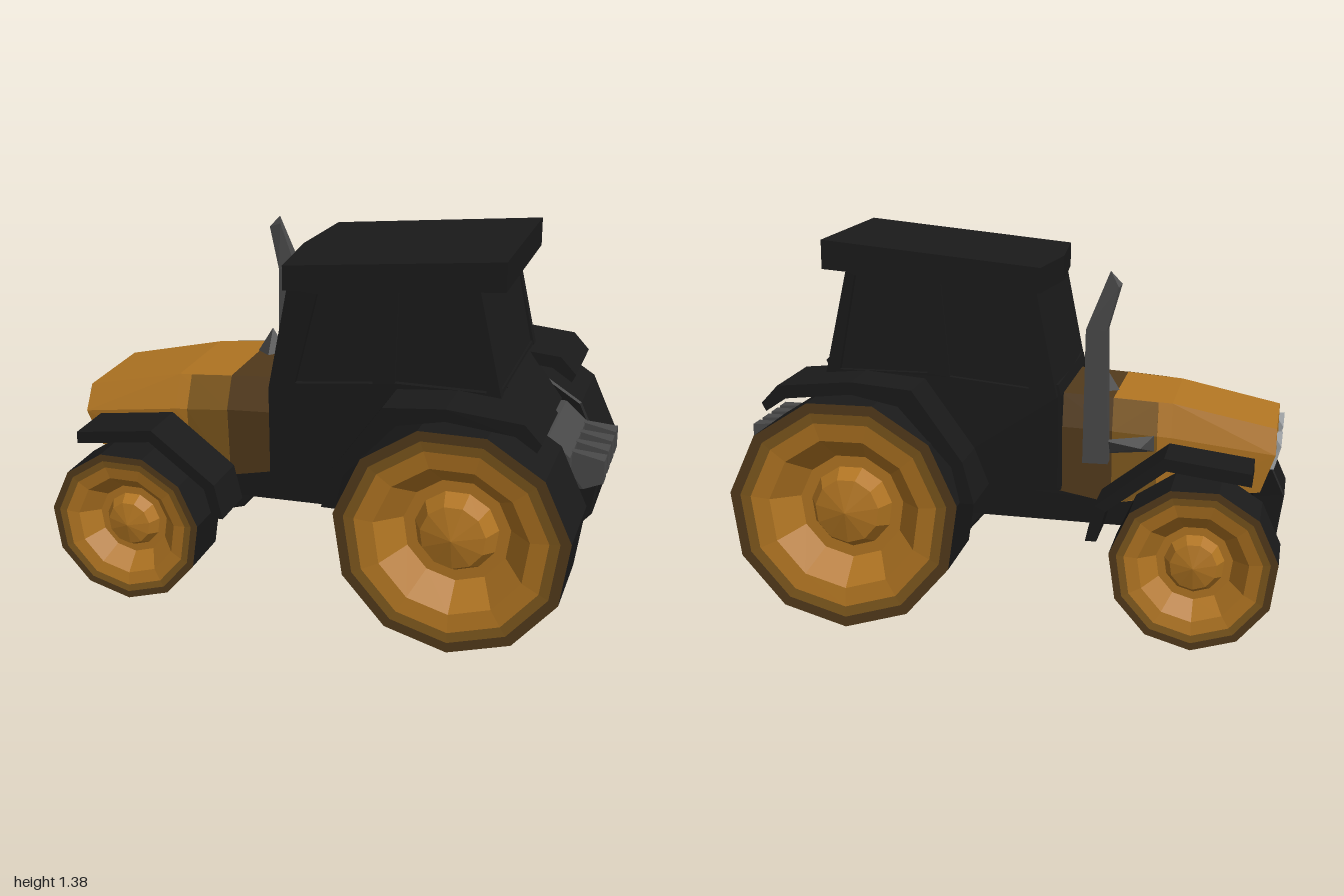
import * as THREE from 'three';
import { ConvexGeometry } from 'three/addons/geometries/ConvexGeometry.js';

const mat = (name, color) => {
  const m = new THREE.MeshStandardMaterial({ color });
  m.name = name;
  return m;
};

export function createModel() {
  const black = mat('black', 0x1a1a1a);
  const grey = mat('grey', 0x494949);
  const lamp = mat('lampGrey', 0x9a9da0);
  const orange = mat('orange', 0xb17522);
  const amber = mat('darkOrange', 0x7e581d);
  const brown = mat('brown', 0x523a1b);
  const tractor = new THREE.Group();
  tractor.name = 'tractor';

  // Faceted mesh
  const add = (name, geo, material, parent = tractor) => {
    const g = geo.index ? geo.toNonIndexed() : geo;
    g.computeVertexNormals();
    const mesh = new THREE.Mesh(g, material);
    mesh.name = name;
    parent.add(mesh);
    return mesh;
  };
  const hull = (name, pts, material) =>
    add(name, new ConvexGeometry(pts.map(p => new THREE.Vector3(...p))), material);
  // Side profile (x, y) stretched from z0 to z1
  const slab = (name, pts, z0, z1, material, holes = []) => {
    const toV = a => a.map(p => new THREE.Vector2(...p));
    const shape = new THREE.Shape(toV(pts));
    holes.forEach(h => shape.holes.push(new THREE.Path(toV(h))));
    const g = new THREE.ExtrudeGeometry(shape, { depth: z1 - z0, bevelEnabled: false });
    return add(name, g.translate(0, 0, z0), material);
  };
  const box = (name, x0, x1, y0, y1, z0, z1, material) =>
    add(name, new THREE.BoxGeometry(x1 - x0, y1 - y0, z1 - z0)
      .translate((x0 + x1) / 2, (y0 + y1) / 2, (z0 + z1) / 2), material);
  const bothSides = (name, pts, a, b, material, holes) => {
    slab(name + 'Left', pts, a, b, material, holes);
    slab(name + 'Right', pts, -b, -a, material, holes);
  };

  // Wheels: lathe bands from the inner side, over the tread, into the dished rim
  const wheel = (name, x, y, R, zIn, zOut, side) => {
    const w = new THREE.Group();
    w.name = name;
    const d = R * 0.27;
    const band = (part, pts, material) => add(part, new THREE.LatheGeometry(
      pts.map(p => new THREE.Vector2(p[0] * R, p[1])), 11, side > 0 ? 0 : Math.PI), material, w);
    band('tyre', [[0, zIn + d * 0.6], [0.45, zIn + d * 0.6], [0.6, zIn + 0.01], [0.98, zIn],
      [1, zIn + 0.005], [1, zOut]], black);
    band('tyreEdge', [[1, zOut], [0.91, zOut]], brown);
    band('rimEdge', [[0.91, zOut], [0.82, zOut - 0.003]], amber);
    band('rim', [[0.82, zOut - 0.003], [0.66, zOut - 0.012], [0.46, zOut - d], [0.36, zOut - d],
      [0.28, zOut - d * 0.45], [0, zOut - d * 0.2]], orange);
    w.rotation.x = side * Math.PI / 2;
    w.position.set(x, y, 0);
    tractor.add(w);
  };
  for (const s of [1, -1]) {
    const n = s > 0 ? 'Left' : 'Right';
    wheel('rearWheel' + n, 0.533, 0.428, 0.424, 0.22, 0.545, s);
    wheel('frontWheel' + n, -0.71, 0.298, 0.295, 0.285, 0.51, s);
  }

  // Mudguards
  bothSides('rearFender', [[0.06, 0.49], [0.1, 0.64], [0.28, 0.89], [0.5, 0.91], [0.77, 0.885],
    [0.83, 0.82], [0.815, 0.79], [0.74, 0.84], [0.5, 0.865], [0.33, 0.83], [0.14, 0.62],
    [0.11, 0.49]], 0.2, 0.512, black);
  bothSides('frontFender', [[-0.9, 0.645], [-0.6, 0.685], [-0.36, 0.5], [-0.33, 0.37],
    [-0.37, 0.37], [-0.4, 0.48], [-0.61, 0.64], [-0.9, 0.6]], 0.28, 0.478, black);

  // Bonnet: stretches between cross-sections, darker toward the cab
  const section = (x, top, shoulder, bottom, right, xb = x) => [
    [x, top, 0.2], [x, top, -right + 0.03], [x, shoulder, 0.257], [x, shoulder, -right],
    [xb, bottom, 0.24], [xb, bottom, -right]];
  const s = [section(-0.97, 0.73, 0.64, 0.5, 0.21, -0.92), section(-0.6, 0.81, 0.69, 0.47, 0.23),
    section(-0.55, 0.814, 0.695, 0.47, 0.235), section(-0.39, 0.827, 0.71, 0.44, 0.25),
    section(-0.2, 0.84, 0.72, 0.48, 0.26)];
  hull('bonnetFront', [...s[0], ...s[1]], orange);
  hull('bonnetMiddle', [...s[1], ...s[3]], orange);
  hull('bonnetRear', [...s[3], ...s[4]], brown);
  for (const k of [1, -1]) {
    // Darker side panel, just proud of the bonnet flank
    hull('bonnetSidePanel', [...s[2], ...s[3]].filter(p => p[2] * k > 0)
      .map(([x, y, z]) => [x, y, z + k * 0.004]), amber);
    // Slanted triangular lamp
    const z = k > 0 ? 0.1 : -0.18;
    hull('headlight', [[-0.965, 0.58, z], [-0.99, 0.7, z + 0.08], [-0.965, 0.6, z + 0.075],
      [-0.988, 0.66, z + 0.015], [-0.93, 0.58, z], [-0.95, 0.7, z + 0.08],
      [-0.93, 0.6, z + 0.075]], lamp);
  }

  // Cab: glazing inside two framed side walls, with a slightly bowed windscreen
  slab('glazing', [[-0.19, 0.86], [0.648, 0.86], [0.56, 1.28], [-0.12, 1.23]], -0.3, 0.3, black);
  hull('windscreen', [[-0.21, 0.84, 0], [-0.135, 1.22, 0], ...[0.3, -0.3].flatMap(z => [
    [-0.198, 0.84, z], [-0.124, 1.22, z]])], black);
  bothSides('cabSide', [[-0.2, 0.5], [0.04, 0.49], [0.1, 0.64], [0.28, 0.88], [0.655, 0.88],
    [0.565, 1.28], [-0.125, 1.22], [-0.2, 0.84]], 0.285, 0.322, black, [
    [[-0.1, 0.87], [0.19, 0.9], [0.22, 1.235], [-0.015, 1.21]],
    [[0.27, 0.91], [0.6, 0.91], [0.535, 1.255], [0.28, 1.24]]]);
  slab('cabBase', [[-0.21, 0.49], [0.04, 0.49], [0.28, 0.9], [-0.2, 0.88], [-0.21, 0.84]],
    -0.29, 0.29, black);
  slab('cabSill', [[0.26, 0.86], [0.655, 0.86], [0.645, 0.91], [0.26, 0.91]], -0.29, 0.29, black);
  slab('rearBody', [[0, 0.41], [0.78, 0.41], [0.78, 0.72], [0.65, 0.9], [0.2, 0.9], [0, 0.6]],
    -0.21, 0.21, black);
  // Roof with a bowed front edge
  hull('roof', [[-0.17, 1.21, 0], [-0.17, 1.3, 0], ...[0.325, -0.325].flatMap(z => [
    [-0.14, 1.213, z], [-0.14, 1.303, z], [0.655, 1.38, z], [0.655, 1.275, z]])], black);

  // Chassis and running gear
  slab('chassis', [[-0.88, 0.4], [-0.42, 0.34], [0.6, 0.36], [0.6, 0.5], [-0.88, 0.52]],
    -0.2, 0.2, black);
  slab('driveShaft', [[-0.62, 0.28], [0.5, 0.355], [0.5, 0.41], [-0.62, 0.34]], -0.045, 0.045, grey);
  const axle = (name, x, y, r, len) => add(name, new THREE.CylinderGeometry(r, r, len, 6)
    .rotateX(Math.PI / 2).translate(x, y, 0), grey);
  axle('frontAxle', -0.7, 0.3, 0.06, 0.68);
  axle('rearAxle', 0.535, 0.41, 0.09, 0.6);
  hull('differential', [-0.08, 0.08].flatMap(z => [[-0.78, 0.24, z], [-0.72, 0.17, z],
    [-0.64, 0.17, z], [-0.6, 0.3, z], [-0.62, 0.41, z], [-0.78, 0.4, z]]), grey);
  box('rearGearHousing', 0.5, 0.66, 0.23, 0.41, -0.07, 0.07, grey);
  for (const k of [1, -1]) {
    box('axleBracket', -0.77, -0.63, 0.23, 0.38, k * 0.23 - 0.03, k * 0.23 + 0.03, grey);
  }

  // Rear hitch with four wedge fingers
  slab('hitchPlate', [[0.77, 0.6], [0.88, 0.6], [0.88, 0.65], [0.8, 0.72], [0.77, 0.72]],
    -0.19, 0.19, grey);
  for (let i = 0; i < 4; i++) {
    const z = -0.147 + i * 0.096;
    hull('hitchFinger', [[0.79, 0.66, z - 0.033], [0.79, 0.5, z - 0.033],
      ...[-0.033, 0.033].flatMap(o => [[1, 0.645, z + o], [1, 0.56, z + o], [0.93, 0.53, z + o]])], grey);
  }

  // Exhaust stack, its elbow and the bonnet cap
  const ring = (x, y, r) => [-0.365, -0.305].flatMap(z => [[x - r, y, z], [x + r, y, z]]);
  hull('exhaustLower', [...ring(-0.345, 0.62, 0.045), ...ring(-0.345, 1.1, 0.037)], grey);
  hull('exhaustUpper', [...ring(-0.345, 1.1, 0.037), [-0.43, 1.26, -0.34], [-0.39, 1.305, -0.35],
    [-0.38, 1.28, -0.325], [-0.42, 1.25, -0.36]], grey);
  hull('exhaustElbow', [[-0.54, 0.64, -0.24], [-0.54, 0.7, -0.25], [-0.5, 0.67, -0.32],
    [-0.36, 0.64, -0.3], [-0.36, 0.7, -0.34], [-0.4, 0.67, -0.24]], grey);
  add('bonnetCap', new THREE.ConeGeometry(0.062, 0.1, 4).translate(-0.335, 0.875, -0.1), grey);

  return tractor;
}
